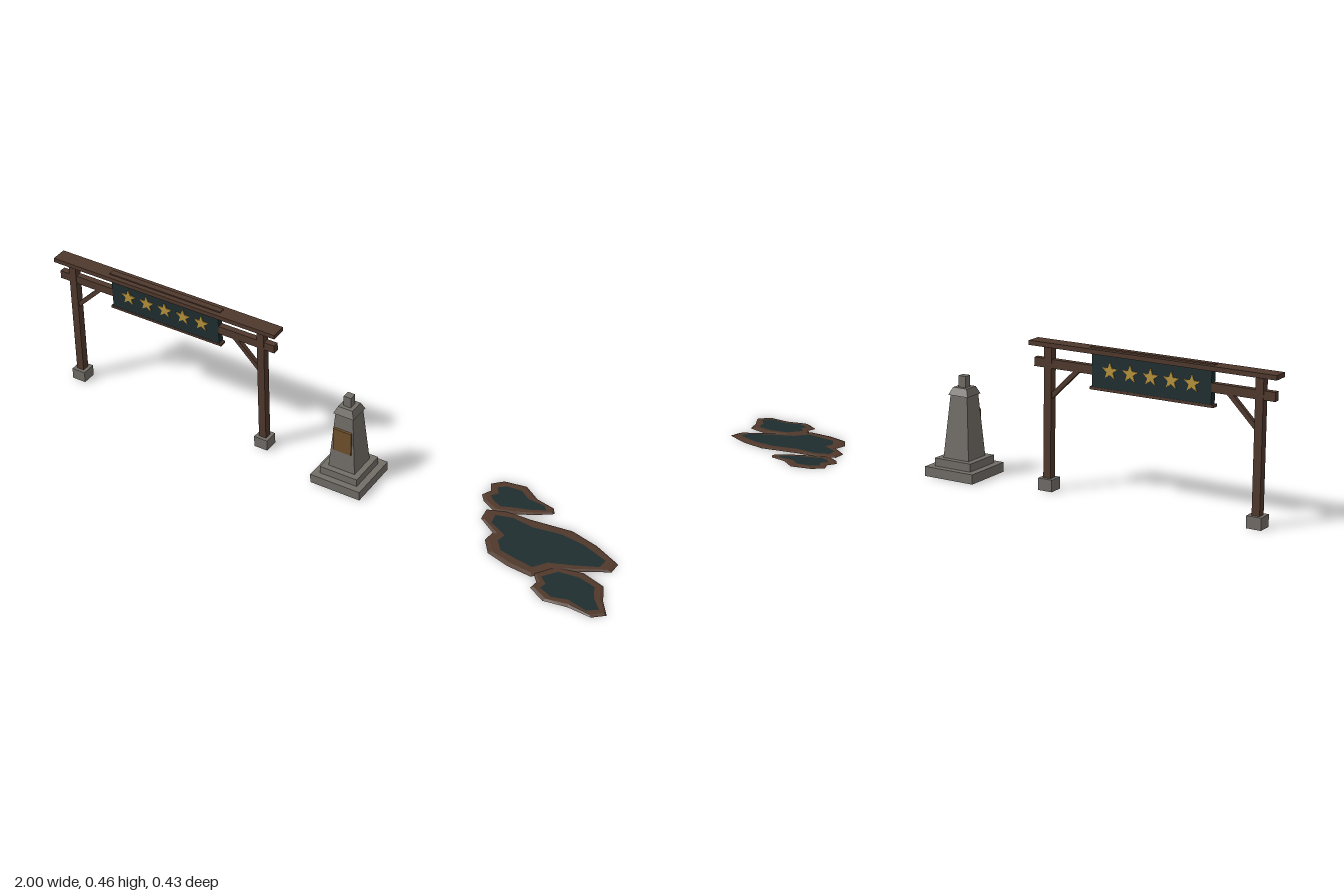
import * as THREE from 'three';

const mat = (name, color, side = THREE.FrontSide) => new THREE.MeshStandardMaterial({ name, color, side });

const Z = 0.0075; // common depth centre of gate and monument

export function createModel() {
  const model = new THREE.Group();
  const wood = mat('dark wood', 0x4f382c);
  const stone = mat('grey stone', 0x716c66);
  const cloth = mat('dark slate', 0x1f2d2f);
  const gold = mat('gold', 0xb8923a);
  const bronze = mat('bronze', 0x70502c);
  const mud = mat('mud', 0x50382a, THREE.DoubleSide);

  const add = (parent, name, geo, material, x = 0, y = 0, z = 0) => {
    const mesh = new THREE.Mesh(geo, material);
    mesh.name = name;
    mesh.position.set(x, y, z);
    parent.add(mesh);
    return mesh;
  };
  // Box given by width, bottom, top and depth
  const box = (parent, name, material, x, w, y0, y1, d, z = 0) =>
    add(parent, name, new THREE.BoxGeometry(w, y1 - y0, d), material, x, (y0 + y1) / 2, z);
  // Square tapering block with flat faces
  const taper = (parent, name, material, wBottom, wTop, y0, y1) => {
    const geo = new THREE.CylinderGeometry(wTop / Math.SQRT2, wBottom / Math.SQRT2, y1 - y0, 4)
      .rotateY(Math.PI / 4).toNonIndexed();
    geo.computeVertexNormals();
    return add(parent, name, geo, material, 0, (y0 + y1) / 2, 0);
  };

  // Gate
  const gate = new THREE.Group();
  gate.name = 'gate';
  gate.position.set(-0.598, 0, Z);
  model.add(gate);
  box(gate, 'topBeam', wood, 0, 0.806, 0.437, 0.451, 0.051);
  box(gate, 'lowerBeam', wood, 0, 0.786, 0.372, 0.399, 0.02);
  for (const s of [-1, 1]) {
    box(gate, 'post', wood, s * 0.345, 0.025, 0.03, 0.433, 0.025);
    box(gate, 'footStone', stone, s * 0.345, 0.047, 0, 0.037, 0.047);
    const brace = add(gate, 'brace', new THREE.BoxGeometry(0.014, 0.13, 0.014), wood, s * 0.292, 0.331, 0);
    brace.rotation.z = s * Math.PI / 4;
  }

  // Hanging sign with stars on both faces
  box(gate, 'signPanel', cloth, 0, 0.39, 0.334, 0.45, 0.0215);
  box(gate, 'signBottomRail', wood, 0, 0.405, 0.328, 0.336, 0.023);
  box(gate, 'signTopRail', wood, 0, 0.405, 0.447, 0.455, 0.02);
  const star = new THREE.Shape();
  for (let i = 0; i < 10; i++) {
    const r = i % 2 ? 0.011 : 0.027, a = Math.PI / 2 + i * Math.PI / 5;
    star[i ? 'lineTo' : 'moveTo'](r * Math.cos(a), r * Math.sin(a));
  }
  star.closePath();
  const starGeo = new THREE.ExtrudeGeometry(star, { depth: 0.003, bevelEnabled: false });
  for (let i = -2; i <= 2; i++) {
    add(gate, 'frontStar', starGeo, gold, i * 0.067, 0.39, 0.0105);
    add(gate, 'backStar', starGeo, gold, i * 0.067, 0.39, -0.0105).rotation.y = Math.PI;
  }

  // Monument
  const monument = new THREE.Group();
  monument.name = 'monument';
  monument.position.set(0.05, 0, Z);
  model.add(monument);
  box(monument, 'basePlinth', stone, 0, 0.172, 0, 0.03, 0.172);
  box(monument, 'upperPlinth', stone, 0, 0.129, 0.03, 0.055, 0.129);
  taper(monument, 'shaft', stone, 0.091, 0.06, 0.055, 0.25);
  taper(monument, 'cap', stone, 0.07, 0.049, 0.25, 0.273);
  box(monument, 'finial', stone, 0, 0.025, 0.273, 0.308, 0.025);
  box(monument, 'plaque', bronze, 0, 0.062, 0.12, 0.2, 0.008, 0.0395);

  // Puddles: muddy sloped rim around flat dark water, outlines as [x, z]
  const puddles = [
    { h: 0.003, inset: 0.028, pts: [
      [0.44, -0.18], [0.47, -0.21], [0.54, -0.222], [0.595, -0.185], [0.655, -0.172],
      [0.67, -0.15], [0.62, -0.115], [0.56, -0.085], [0.505, -0.07], [0.46, -0.095], [0.44, -0.12], [0.455, -0.15]] },
    { h: 0.0036, inset: 0.038, pts: [
      [0.485, -0.065], [0.54, -0.088], [0.62, -0.09], [0.75, -0.106], [0.84, -0.083], [0.93, -0.04],
      [0.928, 0], [0.85, 0.045], [0.78, 0.085], [0.735, 0.137], [0.655, 0.13], [0.58, 0.108],
      [0.545, 0.06], [0.55, 0.02], [0.49, -0.02]] },
    { h: 0.0042, inset: 0.028, pts: [
      [0.735, 0.12], [0.775, 0.062], [0.86, 0.045], [0.935, 0.068], [0.96, 0.125], [0.995, 0.175],
      [0.96, 0.205], [0.885, 0.2], [0.81, 0.212], [0.755, 0.18], [0.76, 0.15]] },
  ];
  for (const { h, inset, pts } of puddles) {
    const puddle = new THREE.Group();
    puddle.name = 'puddle';
    model.add(puddle);
    const n = pts.length;
    const cx = pts.reduce((s, p) => s + p[0], 0) / n, cz = pts.reduce((s, p) => s + p[1], 0) / n;
    const ring = d => pts.map(([x, z]) => {
      const k = 1 - d / Math.hypot(x - cx, z - cz);
      return [cx + (x - cx) * k, cz + (z - cz) * k];
    });
    const rings = [pts, ring(inset * 0.35), ring(inset)], heights = [0, h, h];
    const pos = [];
    for (let r = 0; r < 2; r++) {
      for (let i = 0; i < n; i++) {
        const j = (i + 1) % n;
        const v = (k, m) => [rings[k][m][0], heights[k], rings[k][m][1]];
        pos.push(...v(r, i), ...v(r + 1, i), ...v(r + 1, j), ...v(r, i), ...v(r + 1, j), ...v(r, j));
      }
    }
    const rim = new THREE.BufferGeometry();
    rim.setAttribute('position', new THREE.Float32BufferAttribute(pos, 3));
    rim.computeVertexNormals();
    add(puddle, 'mudRim', rim, mud);
    const shape = (list, s) => new THREE.Shape(list.map(([x, z]) => new THREE.Vector2(x, s * z)));
    add(puddle, 'water', new THREE.ShapeGeometry(shape(rings[2], -1)).rotateX(-Math.PI / 2), cloth, 0, h, 0);
    add(puddle, 'mudUnderside', new THREE.ShapeGeometry(shape(pts, 1)).rotateX(Math.PI / 2), mud);
  }
  return model;
}
